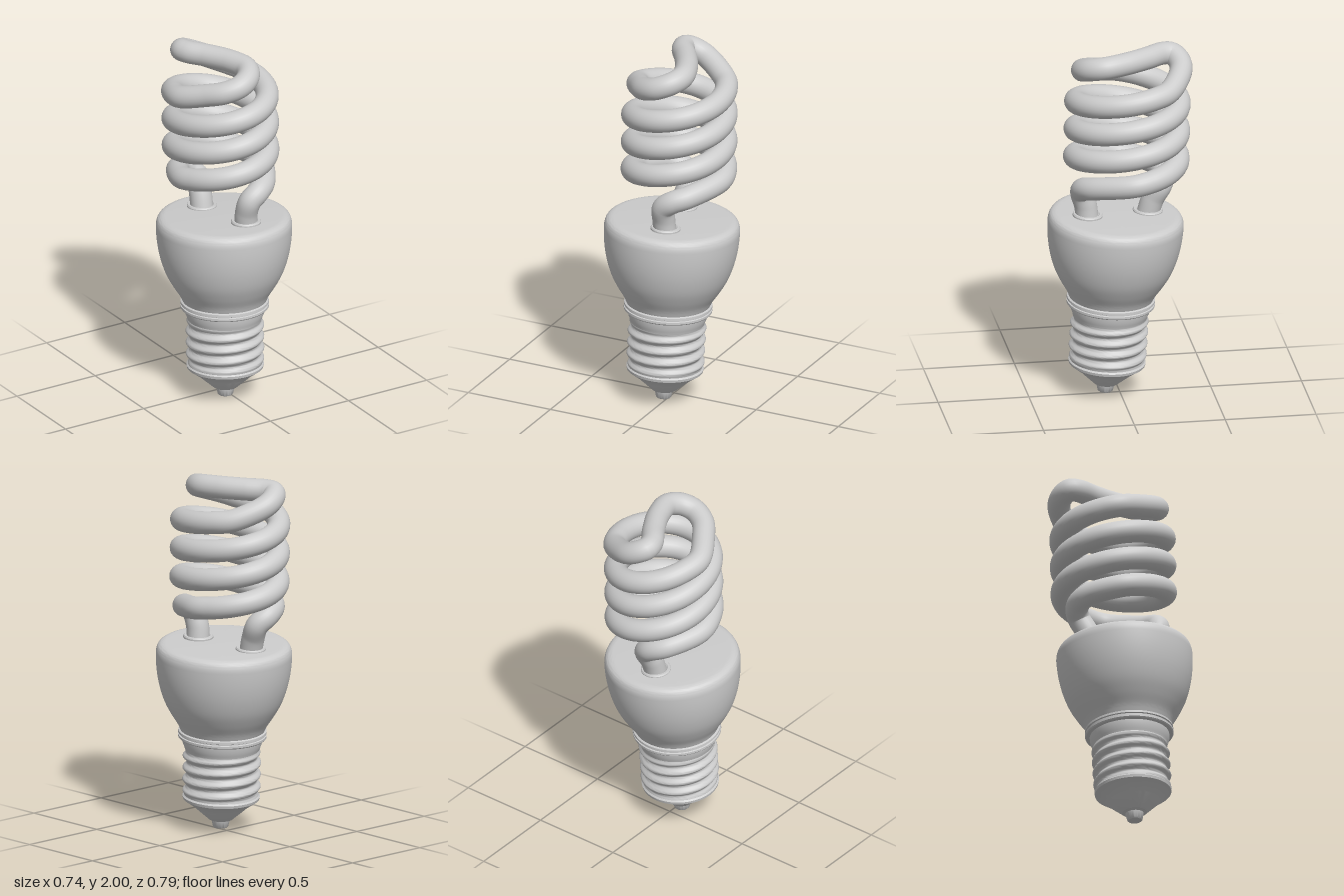
import * as THREE from 'three';
import { toCreasedNormals } from 'three/addons/utils/BufferGeometryUtils.js';

const material = new THREE.MeshStandardMaterial({ color: 0xcccccc });

function addMesh(parent, name, geometry) {
  const mesh = new THREE.Mesh(geometry, material);
  mesh.name = name;
  parent.add(mesh);
  return mesh;
}

// Turned part from [radius, height] pairs, bottom to top; sharp corners kept
function turned(profile, segments = 72) {
  const points = profile.map(([r, y]) => new THREE.Vector2(r, y));
  return toCreasedNormals(new THREE.LatheGeometry(points, segments), 0.6);
}

// Screw sleeve: a plain cylinder wall pushed in and out along a right-handed helix
function threadGeometry(y0, y1, pitch) {
  const rows = 44;
  const points = [];
  for (let i = 0; i <= rows; i++) points.push(new THREE.Vector2(0.203, y0 + (y1 - y0) * i / rows));
  const geometry = new THREE.LatheGeometry(points, 72);
  const p = geometry.attributes.position;
  for (let i = 0; i < p.count; i++) {
    const x = p.getX(i), y = p.getY(i), z = p.getZ(i);
    const fade = Math.min(1, (y - y0) / 0.03, (y1 - y) / 0.03);
    const wave = 0.011 * fade * Math.cos(2 * Math.PI * y / pitch - Math.atan2(x, z));
    const k = (0.203 + wave) / 0.203;
    p.setXYZ(i, x * k, y, z * k);
  }
  return toCreasedNormals(geometry, 1);
}

// Point on the slightly oval, leaning helix; quarter turns run front, right, back, left
function helixPoint(quarter, startY) {
  const a = quarter * Math.PI / 2;
  const y = startY + 0.08 * quarter + 0.012 * Math.cos(a) - 0.005 * Math.sin(a);
  return new THREE.Vector3(
    0.013 + 0.247 * Math.sin(a),
    y,
    -0.037 - 0.02 * (y - 1.55) + 0.283 * Math.cos(a)
  );
}

function helixRun(from, to, startY) {
  const points = [];
  for (let q = from; q <= to + 1e-6; q += 0.25) points.push(helixPoint(q, startY));
  return points;
}

const vectors = list => list.map(([x, y, z]) => new THREE.Vector3(x, y, z));

export function createModel() {
  const model = new THREE.Group();
  model.name = 'spiralLamp';

  // Base, leaning a little off vertical
  const base = new THREE.Group();
  base.name = 'base';
  base.position.set(-0.025, 0.003, 0.077);
  base.quaternion.setFromUnitVectors(
    new THREE.Vector3(0, 1, 0),
    new THREE.Vector3(0.025, 1, -0.055).normalize()
  );
  model.add(base);

  addMesh(base, 'contactTip', turned([
    [0, 0], [0.036, 0], [0.042, 0.006], [0.05, 0.042], [0.066, 0.05]
  ]));
  addMesh(base, 'insulatorCone', turned([
    [0, 0.046], [0.066, 0.048], [0.138, 0.112], [0.142, 0.118],
    [0.208, 0.165], [0.211, 0.18], [0.203, 0.188]
  ]));
  addMesh(base, 'screwThread', threadGeometry(0.186, 0.45, 0.066));
  addMesh(base, 'sleeveNeck', turned([
    [0.203, 0.446], [0.207, 0.46], [0.215, 0.48], [0.217, 0.512]
  ]));
  addMesh(base, 'collarRing', turned([
    [0.21, 0.51], [0.236, 0.512], [0.241, 0.518], [0.241, 0.53], [0.234, 0.533],
    [0.234, 0.538], [0.241, 0.541], [0.24, 0.553], [0.23, 0.558]
  ]));

  // Bowl-shaped housing with a rounded shoulder and flat top
  const side = new THREE.CatmullRomCurve3(vectors([
    [0.229, 0.555, 0], [0.245, 0.59, 0], [0.283, 0.65, 0], [0.32, 0.72, 0], [0.347, 0.8, 0],
    [0.363, 0.88, 0], [0.37, 0.96, 0], [0.369, 1.005, 0], [0.357, 1.033, 0],
    [0.335, 1.045, 0], [0.3, 1.048, 0]
  ])).getPoints(50).map(v => [v.x, v.y]);
  addMesh(base, 'housing', turned([...side, [0, 1.048]], 96));

  // Sockets where the tube enters the housing
  for (const [name, x, y, z] of [['frontSocket', 0.04, 1.03, 0.185], ['backSocket', -0.03, 1.01, -0.157]]) {
    const socket = addMesh(model, name, turned([
      [0.082, 0], [0.082, 0.035], [0.077, 0.042], [0.066, 0.042], [0.058, 0.036], [0, 0.036]
    ], 40));
    socket.position.set(x, y, z);
    socket.quaternion.copy(base.quaternion);
  }

  // One glass tube: up the front strand, across the top, down the back strand
  const frontLeg = vectors([
    [0.04, 1.03, 0.185], [0.036, 1.12, 0.195], [0.045, 1.195, 0.217], [0.095, 1.235, 0.215], [0.165, 1.26, 0.165]
  ]);
  const backLeg = vectors([
    [-0.03, 1.01, -0.155], [-0.023, 1.11, -0.185], [-0.015, 1.19, -0.228],
    [-0.065, 1.235, -0.25], [-0.145, 1.27, -0.215]
  ]);
  const crossing = vectors([
    [-0.155, 1.832, 0.1], [-0.09, 1.86, 0.175], [-0.01, 1.888, 0.202], [0.06, 1.915, 0.172],
    [0.095, 1.932, 0.1], [0.065, 1.938, -0.02], [-0.005, 1.938, -0.15], [-0.065, 1.937, -0.24],
    [-0.075, 1.932, -0.292], [-0.04, 1.913, -0.325], [0.03, 1.878, -0.333]
  ]);
  const path = new THREE.CatmullRomCurve3([
    ...frontLeg, ...helixRun(1, 7, 1.222),
    ...crossing,
    ...helixRun(3, 9.5, 1.062).reverse(), ...backLeg.reverse()
  ], false, 'centripetal');
  path.arcLengthDivisions = 1200;
  addMesh(model, 'spiralTube', new THREE.TubeGeometry(path, 640, 0.0625, 24, false));

  return model;
}
